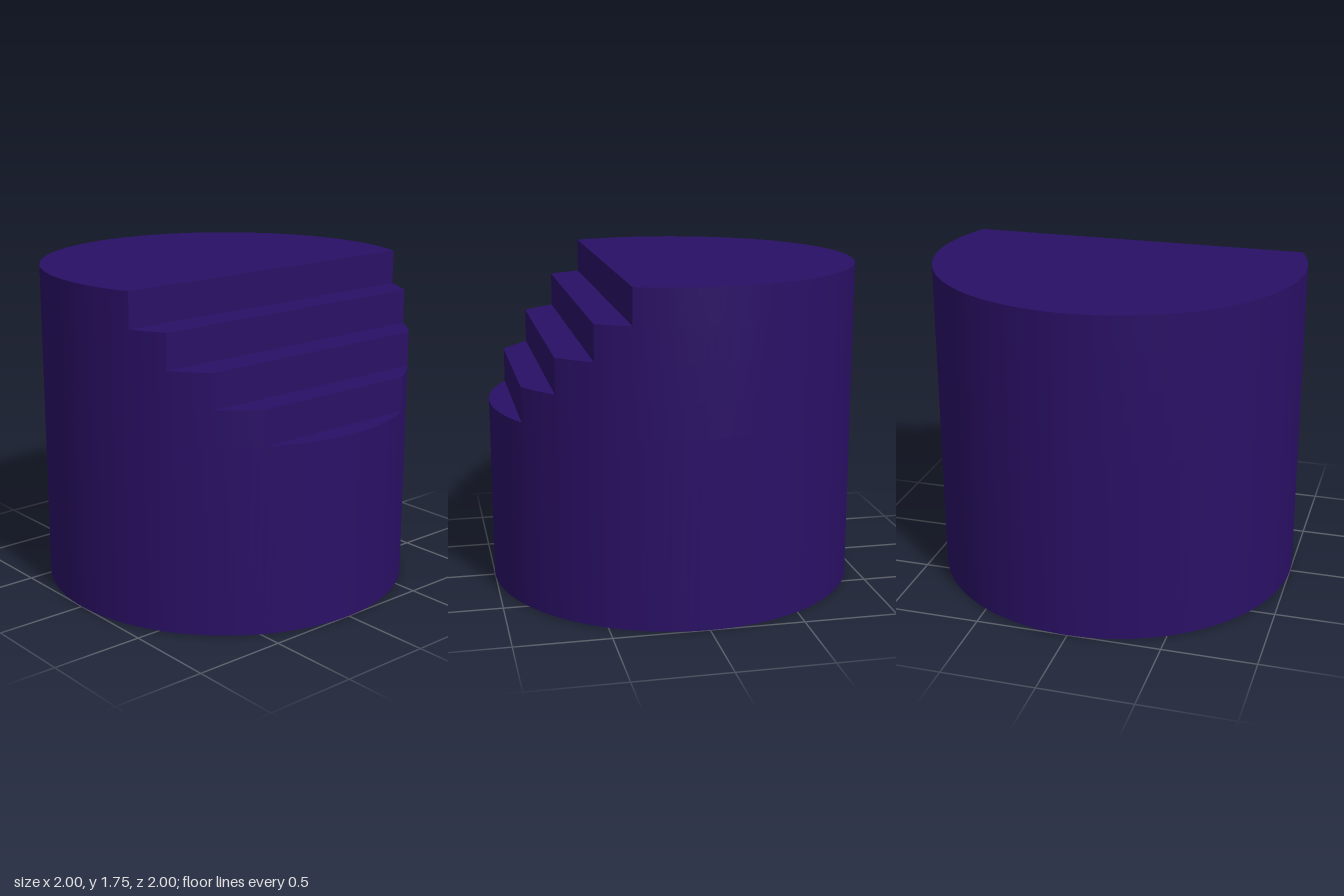
import * as THREE from 'three';

export function createModel() {
  const model = new THREE.Group();
  const material = new THREE.MeshStandardMaterial({ color: 0x2a1066 });
  const add = (name, geometry, y, z = 0) => {
    const mesh = new THREE.Mesh(geometry, material);
    mesh.name = name;
    mesh.position.set(0, y, z);
    model.add(mesh);
  };

  // Each level is a unit disc cut straight across at z = front
  const levels = [
    { front: 1, bottom: 0, top: 1 },
    { front: 0.875, bottom: 1, top: 1.1875 },
    { front: 0.725, bottom: 1.1875, top: 1.375 },
    { front: 0.55, bottom: 1.375, top: 1.5625 },
    { front: 0.375, bottom: 1.5625, top: 1.75 },
  ];

  levels.forEach(({ front, bottom, top }, i) => {
    const height = top - bottom;
    const middle = (top + bottom) / 2;
    const a = Math.acos(front);

    // Curved wall around the uncut part of the level
    add('curvedWall' + i, new THREE.CylinderGeometry(
      1, 1, height, 128, 1, true, a, 2 * Math.PI - 2 * a), middle);

    // Flat riser across the cut
    if (i > 0) add('riser' + i, new THREE.PlaneGeometry(2 * Math.sin(a), height), middle, front);

    // Tread back to the next riser; the last one is the whole top
    const next = levels[i + 1];
    const b = next ? Math.acos(next.front) : Math.PI;
    const mid = -Math.PI / 2;
    const shape = new THREE.Shape();
    shape.absarc(0, 0, 1, mid - b, mid - a, false);
    shape.absarc(0, 0, 1, mid + a, mid + b, false);
    add(next ? 'tread' + i : 'topFace',
      new THREE.ShapeGeometry(shape, 64).rotateX(-Math.PI / 2), top);
  });

  // Underside
  add('baseFace', new THREE.CircleGeometry(1, 128).rotateX(Math.PI / 2), 0);
  return model;
}
